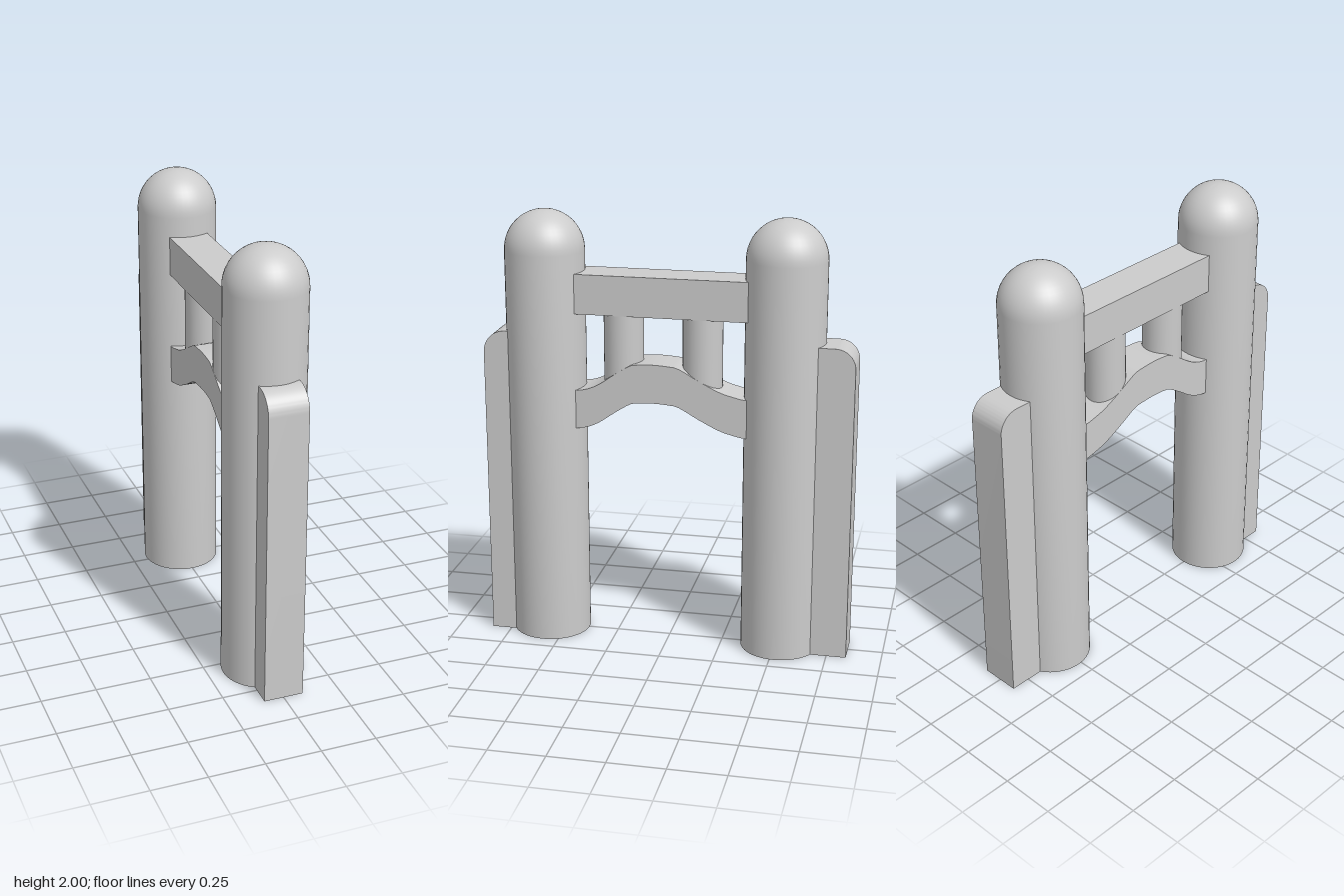
import * as THREE from 'three';
import { toCreasedNormals } from 'three/addons/utils/BufferGeometryUtils.js';

const R = 0.18;      // post radius
const W = 0.18;      // width of the rails and fins
const FRONT_Z = 0.57, BACK_Z = -0.52;

export function createModel() {
  const group = new THREE.Group();
  const material = new THREE.MeshStandardMaterial({ color: 0xcccccc });

  function add(name, geometry, x = 0, y = 0, z = 0) {
    const mesh = new THREE.Mesh(geometry, material);
    mesh.name = name;
    mesh.position.set(x, y, z);
    group.add(mesh);
  }

  // Side outline drawn in (z, y), extruded across x
  function sidePlate(shape) {
    const geometry = new THREE.ExtrudeGeometry(shape, { depth: W, bevelEnabled: false, curveSegments: 10 });
    geometry.translate(0, 0, -W / 2).rotateY(-Math.PI / 2);
    return toCreasedNormals(geometry, 0.5);
  }

  // Round posts with domed tops
  const profile = [new THREE.Vector2(0, 0), new THREE.Vector2(R, 0)];
  for (let i = 0; i <= 12; i++) {
    const a = (i / 12) * Math.PI / 2;
    profile.push(new THREE.Vector2(i === 12 ? 0 : R * Math.cos(a), 2 - R + R * Math.sin(a)));
  }
  const post = toCreasedNormals(new THREE.LatheGeometry(profile, 40), 0.6);
  add('frontPost', post, 0, 0, FRONT_Z);
  add('backPost', post, 0, 0, BACK_Z);

  // Outer fins with one rounded top corner
  function fin(inner, outer, height, r) {
    const s = Math.sign(outer);
    const shape = new THREE.Shape();
    shape.moveTo(inner, 0);
    shape.lineTo(outer, 0);
    shape.lineTo(outer, height - r);
    shape.absarc(outer - s * r, height - r, r, s > 0 ? 0 : Math.PI, Math.PI / 2, s < 0);
    shape.lineTo(inner, height);
    return sidePlate(shape);
  }
  add('frontFin', fin(FRONT_Z + 0.05, 0.84, 1.455, 0.1), 0, 0, 0);
  add('backFin', fin(BACK_Z - 0.05, -0.84, 1.455, 0.09), 0, 0, 0);

  // Straight top rail
  add('topRail', new THREE.BoxGeometry(W, 0.18, 0.94), 0, 1.64, 0.03);

  // Arched lower rail: wavy top edge, the same wave below it
  const v = (z, y) => new THREE.Vector2(z, y);
  const wave = [
    v(0.5, 1.195), v(0.42, 1.198), v(0.37, 1.205), v(0.31, 1.23), v(0.23, 1.285), v(0.17, 1.322),
    v(0.14, 1.331), v(0.07, 1.336), v(-0.01, 1.332), v(-0.06, 1.322), v(-0.15, 1.272), v(-0.24, 1.228),
    v(-0.3, 1.21), v(-0.36, 1.198), v(-0.45, 1.195),
  ];
  const top = new THREE.SplineCurve(wave).getPoints(56);
  const bottom = top.map((p) => v(p.x, p.y - 0.178)).reverse();
  add('archedRail', sidePlate(new THREE.Shape([...top, ...bottom])));

  // Spindles between the rails
  const low = 1.175, high = 1.56;
  for (const z of [0.21, -0.15]) {
    add('spindle', new THREE.CylinderGeometry(0.09, 0.09, high - low, 32), 0, (low + high) / 2, z);
  }

  return group;
}
